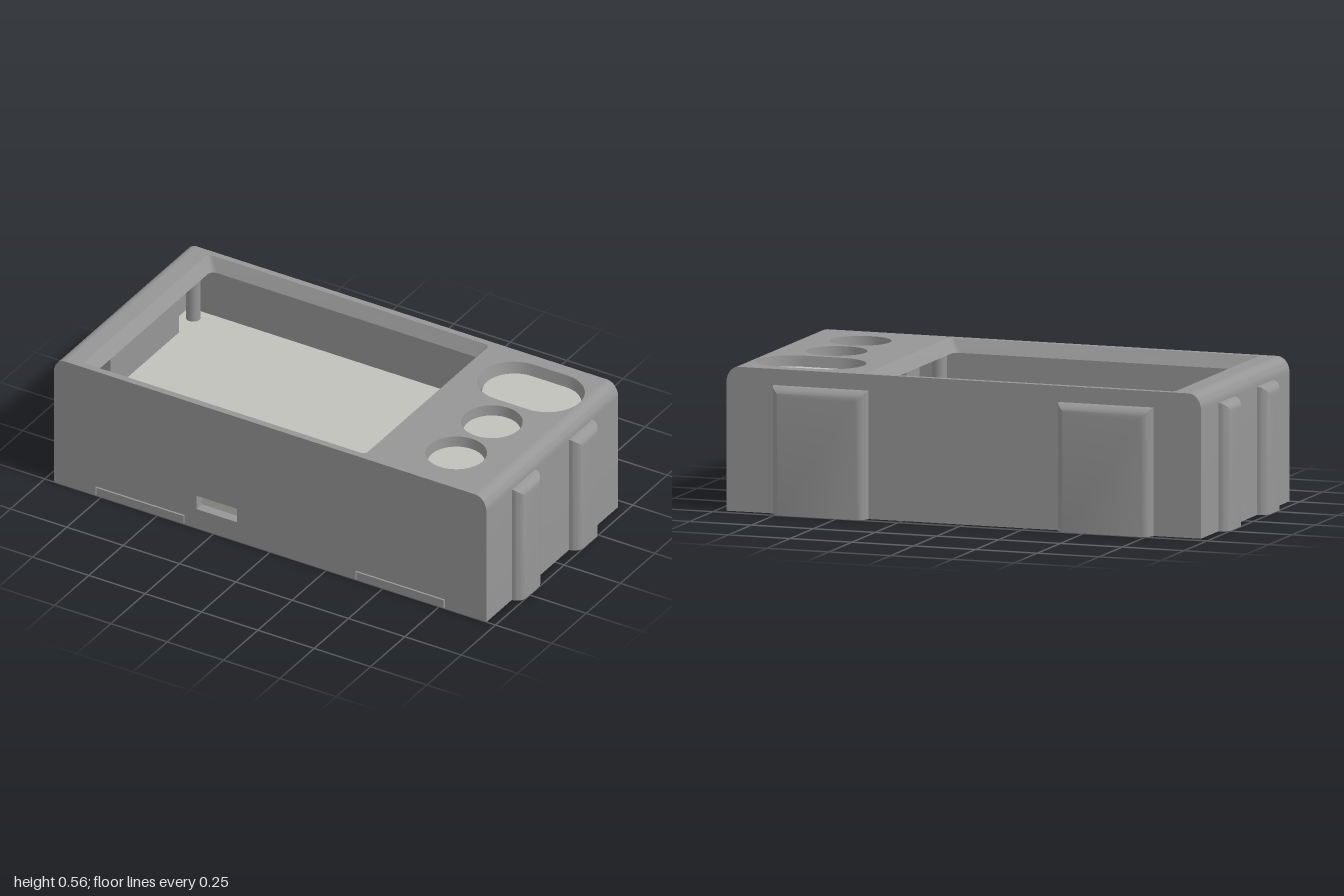
import * as THREE from 'three';
import { toCreasedNormals } from 'three/addons/utils/BufferGeometryUtils.js';

const shellGrey = new THREE.MeshStandardMaterial({ color: 0x969696 });
shellGrey.name = 'shellGrey';
const insertGrey = new THREE.MeshStandardMaterial({ color: 0xc1c1bb });
insertGrey.name = 'insertGrey';

const TOP = 0.555, LID = 0.05, BACK = -0.46, FRONT = 0.5;

// Rounded rectangle outline on the ground plane; each point is (x, -z), counter-clockwise from above
function outline(x0, x1, z0, z1, r, steps = 8) {
  const corners = [[x1 - r, -z0 - r], [x0 + r, -z0 - r], [x0 + r, -z1 + r], [x1 - r, -z1 + r]];
  const points = [];
  corners.forEach(([cx, cy], k) => {
    for (let i = 0; i <= steps; i++) {
      const a = (k + i / steps) * Math.PI / 2;
      points.push(new THREE.Vector2(cx + r * Math.cos(a), cy + r * Math.sin(a)));
    }
  });
  return points;
}

function extrude(shape, depth) {
  const g = new THREE.ExtrudeGeometry(shape, { depth, bevelEnabled: false, curveSegments: 10 });
  return toCreasedNormals(g, 0.5);
}

// Flat slab lying on the ground plane between two heights
function slab(shape, y0, y1) {
  return extrude(shape, y1 - y0).rotateX(-Math.PI / 2).translate(0, y0, 0);
}

function fromTriangles(data) {
  const g = new THREE.BufferGeometry();
  g.setAttribute('position', new THREE.Float32BufferAttribute(data, 3));
  return toCreasedNormals(g, 0.5);
}

// Sloping wall of an opening, from its upper outline to its lower outline
function openingWall(upper, lower, y0, y1) {
  const data = [];
  upper.forEach((a, i) => {
    const j = (i + 1) % upper.length, a2 = upper[j], b = lower[i], b2 = lower[j];
    data.push(a.x, y1, -a.y, a2.x, y1, -a2.y, b.x, y0, -b.y);
    data.push(a2.x, y1, -a2.y, b2.x, y0, -b2.y, b.x, y0, -b.y);
  });
  return fromTriangles(data);
}

// Upright pad with rounded, mitred sides and top, standing out along +z
function padGeometry(width, height, depth, steps = 8) {
  const layers = [], data = [];
  for (let i = 0; i <= steps; i++) {
    const a = i / steps * Math.PI / 2;
    const inset = depth * (1 - Math.cos(a)), w = depth * Math.sin(a);
    const h = width / 2 - inset;
    layers.push([[-h, 0, w], [h, 0, w], [h, height - inset, w], [-h, height - inset, w]]);
  }
  for (let i = 0; i < steps; i++) {
    for (let j = 0; j < 4; j++) {
      const k = (j + 1) % 4, l = layers[i], m = layers[i + 1];
      data.push(...l[j], ...l[k], ...m[k], ...l[j], ...m[k], ...m[j]);
    }
  }
  const c = layers[steps];
  data.push(...c[0], ...c[1], ...c[2], ...c[0], ...c[2], ...c[3]);
  return fromTriangles(data);
}

export function createModel() {
  const model = new THREE.Group();
  model.name = 'enclosure';
  const add = (name, geometry, material = shellGrey) => {
    const mesh = new THREE.Mesh(geometry, material);
    mesh.name = name;
    model.add(mesh);
    return mesh;
  };
  const box = (name, x0, x1, y0, y1, z0, z1, material) => add(name,
    new THREE.BoxGeometry(x1 - x0, y1 - y0, z1 - z0)
      .translate((x0 + x1) / 2, (y0 + y1) / 2, (z0 + z1) / 2), material);

  // Lid with the screen window, the long button hole and two round holes
  const openings = [
    { name: 'screenBezel', upper: outline(-0.845, 0.405, -0.435, 0.472, 0.02), lower: outline(-0.813, 0.375, -0.405, 0.437, 0.025) },
    { name: 'longButtonRim', upper: outline(0.476, 0.908, -0.405, -0.122, 0.1414), lower: outline(0.49, 0.9, -0.392, -0.134, 0.1288) },
  ];
  for (const z of [0.025, 0.285]) {
    const ring = (r) => outline(0.695 - r, 0.695 + r, z - r, z + r, r);
    openings.push({ name: 'roundButtonRim', upper: ring(0.117), lower: ring(0.112) });
    add('roundButton', slab(new THREE.Shape(ring(0.109)), 0.3, 0.515), insertGrey);
  }
  add('longButton', slab(new THREE.Shape(outline(0.497, 0.896, -0.386, -0.139, 0.1234)), 0.3, 0.515), insertGrey);
  const lid = new THREE.Shape([[-0.91, -FRONT], [0.91, -FRONT], [0.91, -BACK], [-0.91, -BACK]]
    .map(([x, y]) => new THREE.Vector2(x, y)));
  for (const o of openings) {
    lid.holes.push(new THREE.Path(o.upper));
    add(o.name, openingWall(o.upper, o.lower, TOP - LID, TOP));
  }
  add('lid', slab(lid, TOP - LID, TOP));

  // Side walls with a rounded top edge, and the grip pads on them
  for (const s of [-1, 1]) {
    const p = new THREE.Shape();
    p.moveTo(s * 0.92, 0.004);
    p.lineTo(s * 0.96, 0.004);
    p.lineTo(s * 0.96, TOP - 0.062);
    for (let i = 1; i <= 10; i++) {
      const a = i / 10 * Math.PI / 2;
      p.lineTo(s * (0.91 + 0.05 * Math.cos(a)), TOP - 0.062 + 0.062 * Math.sin(a));
    }
    p.lineTo(s * 0.91, TOP - LID);
    p.lineTo(s * 0.92, TOP - LID);
    add('sideWall', extrude(p, FRONT - BACK).translate(0, 0, BACK));
    for (const z of [-0.187, 0.23]) {
      add('sidePad', padGeometry(0.17, 0.493, 0.04).rotateY(s * Math.PI / 2).translate(s * 0.96, 0, z));
    }
    add('backPad', padGeometry(0.384, 0.493, 0.04).rotateY(Math.PI).translate(s * 0.577, 0, BACK));
    // Base tab filling a notch of the front wall
    box('baseTab', s * 0.577 - 0.193, s * 0.577 + 0.193, 0, 0.035, 0.46, FRONT);
  }

  // Front wall with two notches and the port
  const front = new THREE.Shape();
  front.moveTo(-0.92, 0.004);
  for (const x of [-0.577, 0.577]) {
    front.lineTo(x - 0.198, 0.004);
    front.lineTo(x - 0.198, 0.041);
    front.lineTo(x + 0.198, 0.041);
    front.lineTo(x + 0.198, 0.004);
  }
  front.lineTo(0.92, 0.004);
  front.lineTo(0.92, TOP - LID);
  front.lineTo(-0.92, TOP - LID);
  front.holes.push(new THREE.Path([[-0.327, 0.085], [-0.327, 0.145], [-0.148, 0.145], [-0.148, 0.085]]
    .map(([x, y]) => new THREE.Vector2(x, y))));
  add('frontWall', extrude(front, 0.04).translate(0, 0, 0.46));
  box('backWall', -0.92, 0.92, 0.004, TOP - LID, BACK, BACK + 0.04);

  // Base and the pale insert inside
  box('basePlate', -0.96, 0.96, 0, 0.004, BACK, FRONT);
  box('baseCore', -0.92, 0.92, 0.004, 0.045, -0.42, 0.46);
  box('insert', -0.92, 0.92, 0.045, 0.3, -0.42, 0.46, insertGrey);

  // Screen posts and support blocks
  for (const x of [-0.868, 0.41]) {
    for (const z of [-0.365, 0.375]) {
      add('screenPost', new THREE.CylinderGeometry(0.028, 0.028, 0.205, 20).translate(x, 0.4025, z));
    }
  }
  box('leftSupport', -0.92, -0.86, 0.3, TOP - LID, -0.25, 0.25);
  box('rightSupport', 0.385, 0.445, 0.3, TOP - LID, -0.05, 0.09);

  return model;
}
